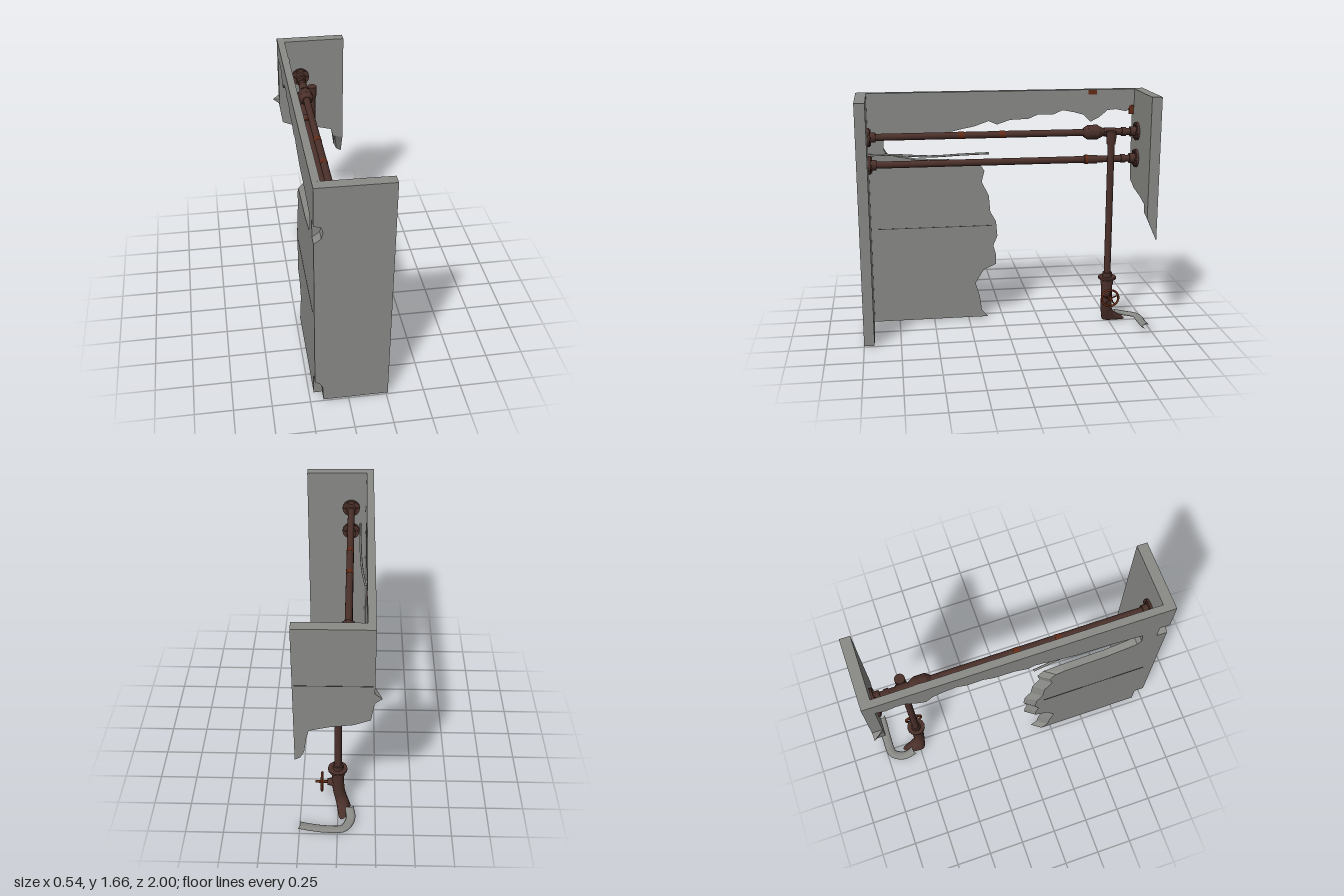
import * as THREE from 'three';

const mat = (name, color, side = THREE.FrontSide) => {
  const m = new THREE.MeshStandardMaterial({ color, side });
  m.name = name;
  return m;
};

export function createModel() {
  const root = new THREE.Group();
  root.name = 'brokenWallWithPipes';
  const concrete = mat('concrete', 0x8b8b88);
  const crackMat = mat('crackGrey', 0x4c4c4a);
  const iron = mat('pipeBrown', 0x4b302a, THREE.DoubleSide);
  const rust = mat('rust', 0x642c17);

  const add = (name, geo, material, parent = root) => {
    const m = new THREE.Mesh(geo, material);
    m.name = name;
    parent.add(m);
    return m;
  };
  const box = (name, size, pos, material) =>
    add(name, new THREE.BoxGeometry(...size), material).position.set(...pos);

  // Slab cut from an outline; warp(v) may move the corners of the far face
  const slab = (outline, depth, warp) => {
    const shape = new THREE.Shape(outline.map(p => new THREE.Vector2(...p)));
    const geo = new THREE.ExtrudeGeometry(shape, { depth, bevelEnabled: false });
    const p = geo.attributes.position, v = new THREE.Vector3();
    for (let i = 0; i < p.count; i++) {
      v.fromBufferAttribute(p, i);
      if (warp && v.z > depth / 2) warp(v);
      p.setXYZ(i, v.x, v.y, v.z);
    }
    geo.computeVertexNormals();
    return geo;
  };

  // Front wall, chipped along its outer corner
  const front = slab([
    [-0.165, 0.01], [0.26, 0.01], [0.26, 1.65], [-0.22, 1.655], [-0.22, 1.4],
    [-0.175, 1.385], [-0.165, 1.35], [-0.175, 1.31], [-0.2, 1.29], [-0.22, 1.275],
    [-0.22, 0.17], [-0.19, 0.155], [-0.17, 0.12],
  ], 0.07);
  front.translate(0, 0, 0.93);
  add('frontWall', front, concrete);

  // Back wall, broken off below, with a thin strip hanging at one side
  const back = slab([
    [-0.22, 1.655], [-0.22, 1.2], [-0.265, 1.165], [-0.22, 1.13], [-0.2, 1.0],
    [-0.1, 0.96], [0.05, 0.94], [0.17, 0.91], [0.185, 0.85], [0.2, 0.74],
    [0.225, 0.69], [0.26, 0.67], [0.26, 1.655],
  ], 0.07, v => {
    v.y = Math.max(v.y, 0.83 + (0.26 - v.x) * 0.3);
    v.x = Math.max(v.x, -0.22);
  });
  back.translate(0, 0, -1);
  add('backWall', back, concrete);

  // Long side wall: upper band and lower panel joined near the front corner (z, y)
  const side = slab([
    [0.93, 0.01], [0.93, 1.655], [-0.93, 1.655], [-0.93, 1.52], [-0.87, 1.5],
    [-0.8, 1.515], [-0.74, 1.51], [-0.68, 1.46], [-0.62, 1.43], [-0.57, 1.48],
    [-0.5, 1.5], [-0.42, 1.515], [-0.35, 1.485], [-0.25, 1.49], [-0.18, 1.46],
    [-0.05, 1.455], [0.04, 1.425], [0.1, 1.45], [0.2, 1.415], [0.28, 1.4],
    [0.37, 1.38], [0.6, 1.37], [0.82, 1.36], [0.825, 1.27], [0.8, 1.23],
    [0.6, 1.19], [0.3, 1.175], [0.17, 1.16], [0.13, 1.1], [0.15, 1.02],
    [0.1, 0.92], [0.09, 0.8], [0.05, 0.73], [0.04, 0.62], [0.07, 0.55],
    [0.05, 0.48], [0.05, 0.41], [0.14, 0.37], [0.2, 0.27], [0.17, 0.17],
    [0.155, 0.06], [0.11, 0.01],
  ], 0.05, v => {
    if (v.y < 1.17 && v.x < 0.25) v.x += 0.07;
    else if (v.y > 1.35 && v.y < 1.6 && v.x < 0.8) v.y += 0.02;
  });
  side.rotateY(-Math.PI / 2);
  side.translate(-0.17, 0, 0);
  add('sideWall', side, concrete);

  // Cracks and rust stains as thin plates
  box('innerCrack', [0.004, 0.005, 0.8], [-0.17, 0.7, 0.48], crackMat);
  box('outerCrack', [0.004, 0.004, 0.75], [-0.22, 0.7, 0.55], crackMat);
  box('backCrack', [0.46, 0.004, 0.004], [0.02, 1.255, -1], crackMat);
  box('topStain', [0.006, 0.03, 0.06], [-0.169, 1.637, -0.63], rust);
  box('cornerStain', [0.006, 0.06, 0.035], [-0.169, 1.51, -0.91], rust);

  const tube = (pts, r, seg, sides) => new THREE.TubeGeometry(
    new THREE.CatmullRomCurve3(pts.map(p => new THREE.Vector3(...p))), seg, r, sides);

  // Peeled sliver on the side wall
  add('peeledSliver', tube([
    [-0.13, 1.24, 0.93], [-0.13, 1.24, 0.8], [-0.135, 1.22, 0.5],
    [-0.145, 1.225, 0.3], [-0.168, 1.225, 0.1]], 0.008, 20, 6), concrete);

  // Curled remnant of the wall's foot, a flattened tube
  const foot = tube([
    [0.26, 0.11, -0.965], [0.2, 0.07, -0.965], [0.08, 0.035, -0.97], [-0.04, 0.03, -0.96],
    [-0.085, 0.04, -0.88], [-0.075, 0.1, -0.79]], 0.032, 24, 8);
  foot.scale(1, 0.4, 1);
  add('footRemnant', foot, concrete);

  // Cylinder centred at pos along an axis; r2 is the radius at its + end
  const rod = (name, axis, pos, len, r, r2 = r, material = iron, sides = 16) => {
    const g = new THREE.CylinderGeometry(r2, r, len, sides);
    if (axis === 'z') g.rotateX(Math.PI / 2);
    if (axis === 'x') g.rotateZ(-Math.PI / 2);
    add(name, g, material).position.set(...pos);
  };

  // Two long pipes with wall flanges, bolts and couplings
  const px = -0.06, vz = -0.73;
  for (const y of [1.375, 1.185]) {
    rod('longPipe', 'z', [px, y, 0], 1.86, 0.024);
    for (const s of [1, -1]) {
      rod('wallFlange', 'z', [px, y, s * 0.922], 0.016, 0.064);
      rod('flangeNeck', 'z', [px, y, s * 0.895], 0.04, 0.035);
      for (let i = 0; i < 6; i++) {
        const a = i * Math.PI / 3;
        rod('flangeBolt', 'z', [px + 0.05 * Math.cos(a), y + 0.05 * Math.sin(a), s * 0.911],
          0.012, 0.008, 0.008, iron, 6);
      }
    }
    rod('coupling', 'z', [px, y, -0.6], 0.09, 0.03);
    rod('couplingRing', 'z', [px, y, -0.57], 0.02, 0.034, 0.034, rust);
    rod('rearCoupling', 'z', [px, y, -0.83], 0.03, 0.031);
  }

  // Large union on the upper pipe
  rod('unionBody', 'z', [px, 1.375, -0.61], 0.07, 0.052, 0.052, iron, 8);
  rod('unionFrontCone', 'z', [px, 1.375, -0.56], 0.03, 0.05, 0.03);
  rod('unionBackCone', 'z', [px, 1.375, -0.665], 0.04, 0.028, 0.048);
  for (const z of [0.3, 0.02]) rod('rustBand', 'z', [px, 1.375, z], 0.04, 0.0255, 0.0255, rust);

  // Branch and down pipe
  rod('branch', 'x', [-0.03, 1.36, vz], 0.07, 0.03);
  rod('teeCollar', 'z', [px, 1.375, vz], 0.08, 0.031);
  rod('teeHead', 'y', [0, 1.355, vz], 0.07, 0.034);
  rod('headCollar', 'y', [0, 1.31, vz], 0.02, 0.031);
  rod('downPipe', 'y', [0, 0.83, vz], 1.02, 0.024);
  rod('valveFlange', 'y', [0.003, 0.332, vz], 0.014, 0.064);
  rod('valveNeck', 'y', [0, 0.345, vz], 0.05, 0.034);
  rod('valveCollar', 'y', [0, 0.3, vz], 0.03, 0.045);

  // Bent foot of the down pipe, flattened on the ground and flaring backward
  const elbow = tube([
    [0, 0.31, vz], [0, 0.2, vz], [-0.008, 0.12, -0.732], [-0.028, 0.05, -0.74],
    [-0.045, 0, -0.75]], 0.04, 24, 16);
  const ep = elbow.attributes.position;
  for (let i = 0; i < ep.count; i++) {
    const y = Math.max(ep.getY(i), 0), z = ep.getZ(i);
    const flare = z < -0.75 && y < 0.1 ? (0.1 - y) ** 2 * 9 : 0;
    ep.setXYZ(i, ep.getX(i), y, z - flare);
  }
  elbow.computeVertexNormals();
  add('elbow', elbow, iron);

  // Valve hand wheel
  rod('valveBonnet', 'x', [0.045, 0.21, vz], 0.05, 0.032, 0.022);
  rod('valveStem', 'x', [0.085, 0.21, vz], 0.13, 0.009, 0.009, rust, 10);
  const wheel = new THREE.Group();
  wheel.name = 'handWheel';
  wheel.position.set(0.107, 0.21, vz);
  wheel.rotation.y = Math.PI / 2;
  root.add(wheel);
  add('wheelRim', new THREE.TorusGeometry(0.06, 0.008, 8, 28), rust, wheel);
  for (let i = 0; i < 5; i++) {
    const g = new THREE.CylinderGeometry(0.005, 0.005, 0.06, 8);
    g.translate(0, 0.03, 0);
    add('wheelSpoke', g, rust, wheel).rotation.z = i * Math.PI * 2 / 5;
  }
  const hub = new THREE.CylinderGeometry(0.016, 0.016, 0.02, 12);
  hub.rotateX(Math.PI / 2);
  add('wheelHub', hub, rust, wheel);

  return root;
}
